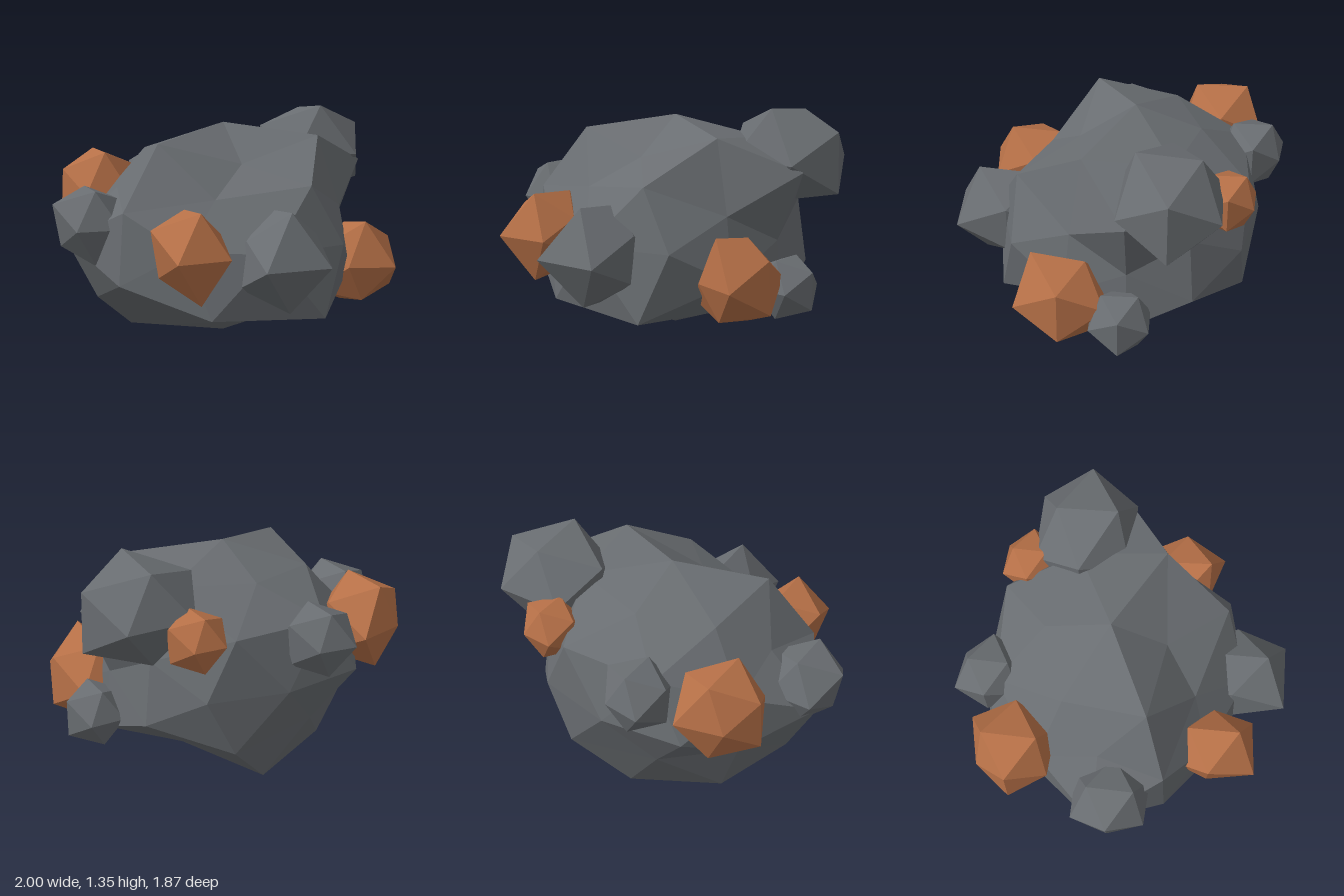
import * as THREE from 'three';

const rockGrey = new THREE.MeshStandardMaterial({ name: 'rockGrey', color: 0x696d71, flatShading: true });
const copperOre = new THREE.MeshStandardMaterial({ name: 'copperOre', color: 0xb67047, flatShading: true });

// Radius of each body point, keyed by the signs of x, y, z (axis points and the twelve corners)
const cornerRadius = {
  '+00': 0.76, '-00': 1.0, '0+0': 0.94, '0-0': 0.88, '00+': 0.98, '00-': 0.89,
  '0++': 0.74, '0+-': 0.87, '0-+': 0.78, '0--': 1.1,
  '+0+': 0.96, '+0-': 0.9, '-0+': 0.88, '-0-': 0.96,
  '++0': 1.09, '+-0': 0.94, '-+0': 0.8, '--0': 0.955,
};
// Edge midpoints by dominant axis, in sign order +++ ++- +-+ +-- -++ -+- --+ ---
const middleRadius = [
  [0.79, 0.83, 0.87, 0.89, 0.93, 0.85, 0.97, 0.85],
  [1.035, 0.95, 0.8, 0.8, 1.0, 0.88, 0.88, 1.055],
  [0.98, 0.985, 1.14, 0.98, 0.77, 0.95, 1.07, 0.85],
];

const signKey = (d) => d.map((v) => (Math.abs(v) < 0.01 ? '0' : v > 0 ? '+' : '-')).join('');

function bodyRadius(d) {
  const key = signKey(d);
  if (key in cornerRadius) return cornerRadius[key];
  const a = d.map(Math.abs);
  const axis = a.indexOf(Math.max(...a));
  return middleRadius[axis][(d[0] < 0 ? 4 : 0) + (d[1] < 0 ? 2 : 0) + (d[2] < 0 ? 1 : 0)];
}

// Icosahedral stone whose points are pushed in or out by a radius rule
function makeStone(name, material, center, detail, radiusOf, stretch) {
  const geometry = new THREE.IcosahedronGeometry(1, detail).rotateY(Math.PI / 2);
  const position = geometry.attributes.position;
  const v = new THREE.Vector3();
  for (let i = 0; i < position.count; i++) {
    v.fromBufferAttribute(position, i).normalize();
    v.multiplyScalar(radiusOf(v.toArray()));
    position.setXYZ(i, v.x, v.y, v.z);
  }
  geometry.scale(...stretch);
  geometry.computeVertexNormals();
  const stone = new THREE.Mesh(geometry, material);
  stone.name = name;
  stone.position.set(...center);
  return stone;
}

// Lump half sunk into the boulder; "uneven" overrides the radius of single corners
function makeLump(name, material, center, radius, uneven = {}, stretch = [1, 1, 1]) {
  return makeStone(name, material, center, 0, (d) => uneven[signKey(d)] ?? radius, stretch);
}

export function createModel() {
  const model = new THREE.Group();
  model.name = 'oreBoulder';

  // Faceted, flattened boulder
  model.add(makeStone('boulder', rockGrey, [0.035, 0.64, -0.09], 1, bodyRadius, [0.94, 0.68, 0.8]));

  // Stone lumps
  model.add(
    makeLump('frontStone', rockGrey, [0.1, 0.59, 0.62], 0.3, {
      '0++': 0.335, '0-+': 0.305, '+0+': 0.345, '-0+': 0.365,
      '++0': 0.255, '+-0': 0.25, '-+0': 0.22, '--0': 0.265,
    }),
    makeLump('upperStone', rockGrey, [0.67, 1.065, -0.31], 0.33, {
      '0++': 0.355, '0+-': 0.315, '0-+': 0.28, '0--': 0.31, '+-0': 0.34,
    }, [1.13, 0.96, 0.97]),
    makeLump('sideStone', rockGrey, [0.83, 0.395, -0.06], 0.19, { '++0': 0.2, '+-0': 0.2 }),
    makeLump('backStone', rockGrey, [-0.175, 0.885, -0.75], 0.21, { '+0-': 0.185, '-0-': 0.22, '++0': 0.22 }),
    makeLump('oppositeStone', rockGrey, [-0.785, 0.73, 0], 0.245, { '-+0': 0.25, '--0': 0.2, '-0+': 0.235 }),
  );

  // Copper nuggets
  model.add(
    makeLump('frontNugget', copperOre, [-0.36, 0.635, 0.525], 0.26, {
      '0++': 0.285, '0-+': 0.295, '+0+': 0.27, '-0+': 0.31,
      '++0': 0.19, '+-0': 0.175, '-+0': 0.27, '--0': 0.22,
    }),
    makeLump('sideNugget', copperOre, [0.71, 0.475, 0.265], 0.29, {
      '0++': 0.305, '0+-': 0.25, '0-+': 0.24, '0--': 0.3,
      '-0+': 0.2, '-+0': 0.2, '++0': 0.265, '+-0': 0.285,
    }),
    makeLump('smallBackNugget', copperOre, [0.49, 0.97, -0.61], 0.18, { '+0-': 0.165, '++0': 0.19 }),
    makeLump('backNugget', copperOre, [-0.59, 0.845, -0.57], 0.275, {
      '0++': 0.285, '0+-': 0.285, '-+0': 0.26, '+0-': 0.29, '-0-': 0.215, '-0+': 0.25, '+0+': 0.265,
    }),
  );

  return model;
}
